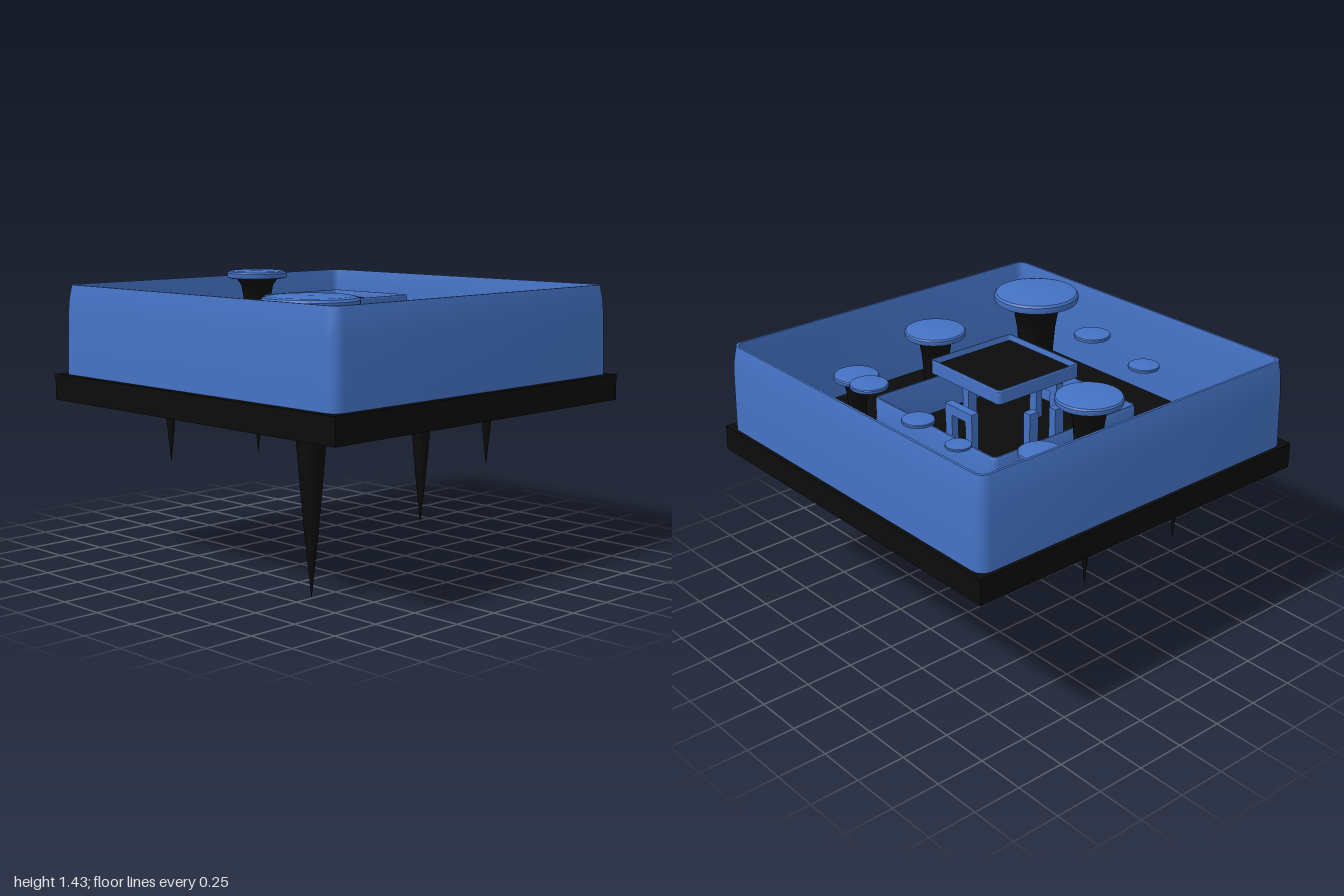
import * as THREE from 'three';
import { toCreasedNormals } from 'three/addons/utils/BufferGeometryUtils.js';

const blue = new THREE.MeshStandardMaterial({ color: 0x4472c4, side: THREE.DoubleSide });
const black = new THREE.MeshStandardMaterial({ color: 0x0b0b0b });
const CENTRE = -0.008; // the framed parts sit slightly off the middle of the plate

function add(group, name, geometry, material, x = 0, y = 0, z = 0) {
  const mesh = new THREE.Mesh(geometry, material);
  mesh.name = name;
  mesh.position.set(x, y, z);
  group.add(mesh);
  return mesh;
}

function box(group, name, material, w, h, d, x, y, z) {
  return add(group, name, new THREE.BoxGeometry(w, h, d), material, x, y, z);
}

// Square frame with rounded corners: sweeps a closed [inset, y] profile round the square
function frameGeometry(half, radius, profile, steps = 4) {
  const positions = [], index = [];
  const perLoop = 4 * (steps + 1);
  for (const [inset, y] of profile) {
    const r = Math.max(radius - inset * 0.5, 0.01);
    const c = half - inset - r;
    for (let q = 0; q < 4; q++) {
      const sx = q === 0 || q === 3 ? 1 : -1;
      const sz = q < 2 ? 1 : -1;
      for (let s = 0; s <= steps; s++) {
        const a = (q + s / steps) * Math.PI / 2;
        positions.push(sx * c + r * Math.cos(a), y, sz * c + r * Math.sin(a));
      }
    }
  }
  for (let p = 0; p < profile.length; p++) {
    const next = (p + 1) % profile.length;
    for (let i = 0; i < perLoop; i++) {
      const j = (i + 1) % perLoop;
      const a = p * perLoop + i, b = p * perLoop + j;
      const c = next * perLoop + i, d = next * perLoop + j;
      index.push(a, c, b, b, c, d);
    }
  }
  const geometry = new THREE.BufferGeometry();
  geometry.setAttribute('position', new THREE.Float32BufferAttribute(positions, 3));
  geometry.setIndex(index);
  return toCreasedNormals(geometry, 0.45);
}

// Lathe from [radius, height] pairs, in multiples of the head radius
function lathe(r, pairs) {
  const points = pairs.map(([x, y]) => new THREE.Vector2(x * r, y * r));
  return toCreasedNormals(new THREE.LatheGeometry(points, 32), 0.6);
}

const HEAD = [[0, -0.27], [0.9, -0.27], [0.98, -0.24], [1, -0.19], [1, -0.09], [0.96, -0.04], [0.85, -0.015], [0, 0]];
const STEM = [[0, -6.22], [0.13, -5], [0.23, -3.9], [0.33, -2.65], [0.41, -1.5], [0.46, -0.9], [0.53, -0.5], [0.7, -0.26]];

// A flat round head, with or without a pointed stem running through the plate
function pin(group, x, z, r, top, hasStem) {
  const g = new THREE.Group();
  g.name = hasStem ? 'spikedPin' : 'floatingDisc';
  g.position.set(x, top, z);
  add(g, 'head', lathe(r, HEAD), blue);
  if (hasStem) add(g, 'spike', lathe(r, STEM), black);
  group.add(g);
}

export function createModel() {
  const model = new THREE.Group();
  model.name = 'walledBoard';

  // Square base plate
  box(model, 'basePlate', black, 2, 0.13, 2, 0, 0.885, 0);

  // Outer wall, leaning in near the rim
  add(model, 'outerWall', frameGeometry(0.973, 0.06, [
    [0, 0.94], [0.006, 1.25], [0.012, 1.33], [0.024, 1.4],
    [0.036, 1.4], [0.046, 1.33], [0.046, 0.94],
  ]), blue, CENTRE, 0, CENTRE);

  // Low inner wall
  add(model, 'innerWall', frameGeometry(0.462, 0.03, [
    [0, 0.94], [0, 1.125], [0.006, 1.14], [0.014, 1.14], [0.018, 1.125], [0.018, 0.94],
  ]), blue, CENTRE, 0, CENTRE);

  // Raised tray with a dark floor
  add(model, 'trayRim', frameGeometry(0.258, 0.02, [
    [0, 1.28], [0, 1.345], [0.003, 1.35], [0.009, 1.35], [0.011, 1.345], [0.011, 1.28],
  ]), blue, CENTRE, 0, CENTRE);
  box(model, 'trayFloor', black, 0.496, 0.02, 0.496, CENTRE, 1.31, CENTRE);

  // Brackets in front of and behind the tray: a bar on two short legs
  for (const side of [1, -1]) {
    const z = CENTRE + side * 0.275;
    box(model, 'bracketBar', blue, 0.2, 0.05, 0.045, -0.01, 1.16, z);
    for (const x of [-0.085, 0.065]) box(model, 'bracketLeg', blue, 0.05, 0.19, 0.04, x, 1.045, z);
  }

  // Small posts at the sides of the tray
  for (const [x, z, top] of [[-0.29, -0.085, 1.2], [-0.295, 0.075, 1.18], [0.265, -0.005, 1.15]]) {
    box(model, 'sidePost', blue, 0.045, top - 0.95, 0.055, x, (top + 0.95) / 2, z);
  }

  // Pins with spikes: x, z, head radius, top height
  for (const [x, z, r, top] of [
    [0.51, 0.665, 0.225, 1.41], [-0.705, -0.105, 0.16, 1.44], [0.665, 0.095, 0.16, 1.295],
    [0.605, -0.46, 0.115, 1.215], [-0.705, -0.4, 0.105, 1.255], [-0.705, 0.5, 0.105, 1.125],
  ]) pin(model, x, z, r, top, true);

  // Discs without spikes
  for (const [x, z, r, top] of [
    [-0.32, 0.645, 0.08, 1.255], [0.055, 0.645, 0.095, 1.31], [0.295, -0.605, 0.095, 1.31],
    [-0.085, -0.605, 0.08, 1.255], [-0.44, -0.655, 0.062, 1.27],
  ]) pin(model, x, z, r, top, false);

  return model;
}
